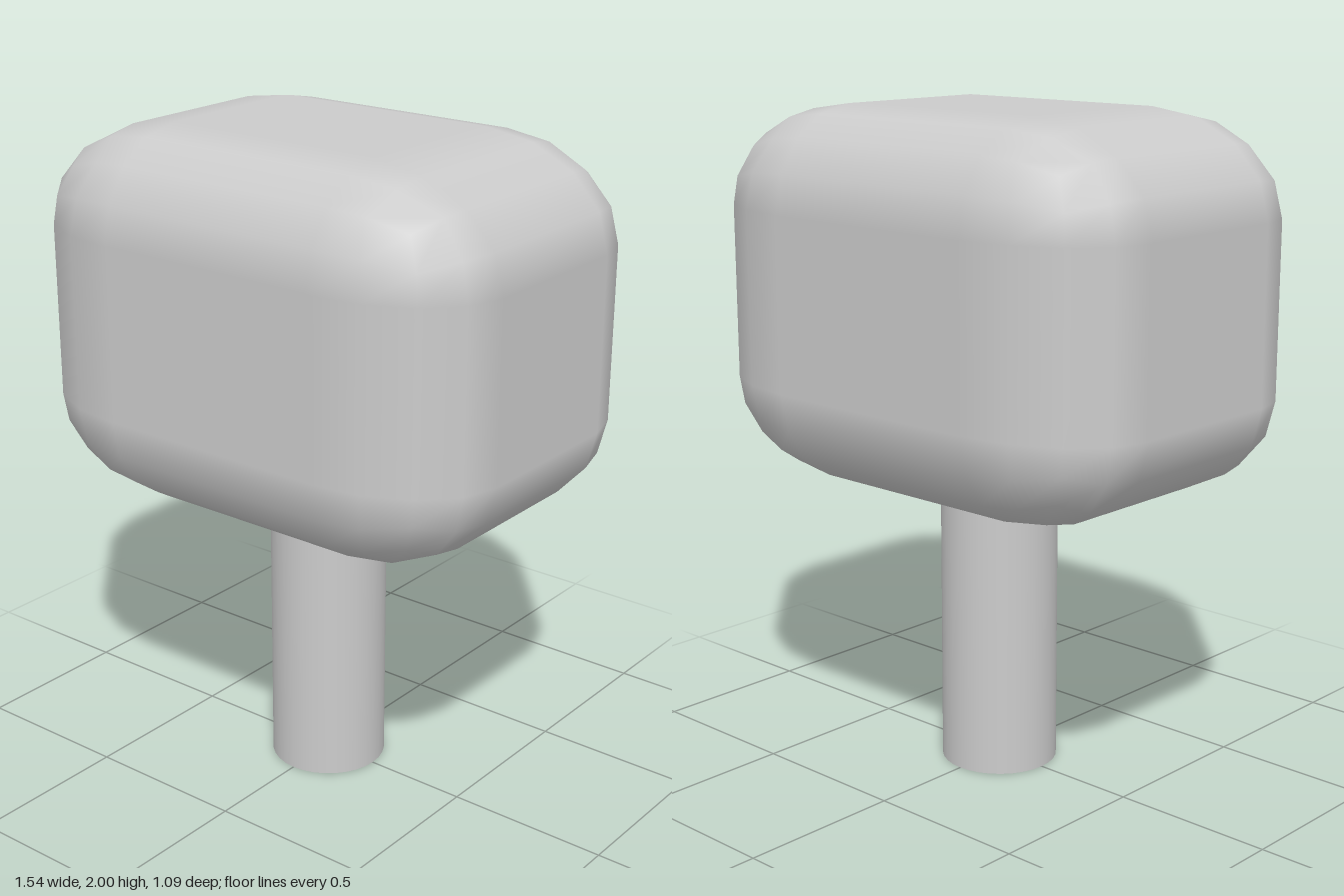
import * as THREE from 'three';

const material = new THREE.MeshStandardMaterial({ color: 0xcccccc });

// Box with rounded edges and corners: two quads per quarter-turn on each face,
// the rounding stretching with the half sizes.
function roundedBlock(half, flat) {
  const geometry = new THREE.BoxGeometry(1, 1, 1, 5, 5, 5);
  const pos = geometry.attributes.position;
  const normal = geometry.attributes.normal;
  const steps = [0, Math.tan(Math.PI / 8), 1];
  const remap = (v) => Math.sign(v) * steps[Math.round((Math.abs(v) - 0.1) / 0.2)];
  const p = new THREE.Vector3();
  const n = new THREE.Vector3();
  for (let i = 0; i < pos.count; i++) {
    p.fromBufferAttribute(pos, i);
    n.set(remap(p.x), remap(p.y), remap(p.z)).normalize();
    p.set(Math.sign(p.x), Math.sign(p.y), Math.sign(p.z))
      .multiplyScalar(flat).addScaledVector(n, 1 - flat).multiply(half);
    n.divide(half).normalize();
    pos.setXYZ(i, p.x, p.y, p.z);
    normal.setXYZ(i, n.x, n.y, n.z);
  }
  return geometry;
}

export function createModel() {
  const group = new THREE.Group();
  group.name = 'mallet';

  // Rounded head
  const head = new THREE.Mesh(roundedBlock(new THREE.Vector3(0.77, 0.56, 0.545), 0.465), material);
  head.name = 'head';
  head.position.y = 1.44;
  group.add(head);

  // Round handle, running slightly into the head
  const height = 0.92;
  const handle = new THREE.Mesh(new THREE.CylinderGeometry(0.177, 0.177, height, 32), material);
  handle.name = 'handle';
  handle.position.y = height / 2;
  group.add(handle);

  return group;
}
